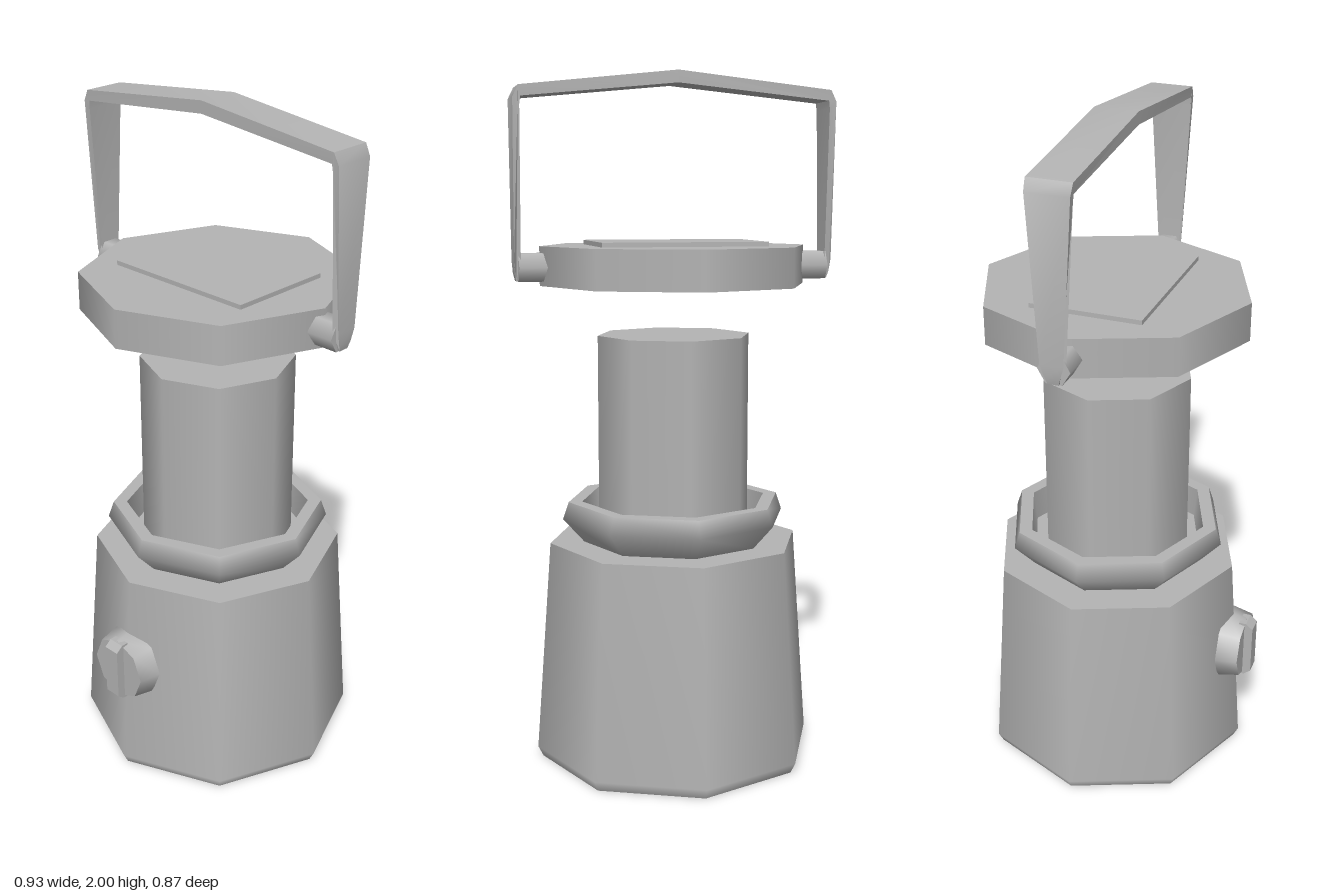
import * as THREE from 'three';
import { toCreasedNormals } from 'three/addons/utils/BufferGeometryUtils.js';

export function createModel() {
  const model = new THREE.Group();
  model.name = 'campingLantern';
  const grey = new THREE.MeshStandardMaterial({ color: 0xb4b4b4 });
  grey.name = 'plain grey';
  const axisZ = -0.017; // the lantern's axis, set back by the knob

  function add(name, geometry, x = 0, y = 0, z = axisZ) {
    const mesh = new THREE.Mesh(geometry, grey);
    mesh.name = name;
    mesh.position.set(x, y, z);
    model.add(mesh);
    return mesh;
  }
  // Eight-sided turned part from [radius, height] pairs, bottom to top
  const turned = (profile) =>
    new THREE.LatheGeometry(profile.map(([r, y]) => new THREE.Vector2(r, y)), 8);

  // Tapered base with a small chamfer at the foot
  add('base', turned([
    [0, 0], [0.4, 0], [0.4, 0], [0.415, 0.03], [0.37, 0.65], [0.37, 0.65], [0, 0.65],
  ]));

  // Flared collar with a recess around the lamp tube
  add('collar', turned([
    [0.27, 0.65], [0.332, 0.72], [0.315, 0.77], [0.315, 0.77],
    [0.275, 0.77], [0.275, 0.77], [0.265, 0.68], [0.265, 0.68], [0, 0.68],
  ]));

  // Lamp tube
  add('lampTube', turned([
    [0.225, 0.66], [0.225, 1.255], [0.225, 1.255], [0, 1.255],
  ]));

  // Lid with a thin raised panel
  add('lid', turned([[0, 1.4], [0.39, 1.4], [0.39, 1.4], [0.39, 1.512], [0.39, 1.512], [0, 1.512]]));
  add('lidPanel', new THREE.BoxGeometry(0.476, 0.016, 0.322), 0, 1.517, -0.016);

  // Control knob: tapered disc with a rounded grip
  const disc = new THREE.CylinderGeometry(0.097, 0.11, 0.065, 8);
  disc.rotateX(Math.PI / 2);
  add('knobDisc', toCreasedNormals(disc, 0.9), 0, 0.372, 0.375);
  const gripShape = new THREE.Shape([
    [-0.095, 0], [0.095, 0], [0.095, 0.022], [0.078, 0.043], [-0.078, 0.043], [-0.095, 0.022],
  ].map(([u, v]) => new THREE.Vector2(u, v)));
  const grip = new THREE.ExtrudeGeometry(gripShape, { depth: 0.05, bevelEnabled: false });
  grip.translate(0, 0, -0.025);
  // profile (u, v) becomes (y, z), width becomes x
  grip.applyMatrix4(new THREE.Matrix4().set(0, 0, 1, 0, 1, 0, 0, 0, 0, 1, 0, 0, 0, 0, 0, 1));
  add('knobGrip', grip, 0, 0.372, 0.39);

  // Handle: bent band whose arms narrow towards the pivots
  const outer = [[0.458, 1.415], [0.463, 1.435], [0.465, 1.47], [0.465, 1.92], [0.449, 1.952]];
  const inner = [[0.443, 1.922], [0.446, 1.9], [0.446, 1.47], [0.446, 1.435], [0.448, 1.415]];
  const half = [...outer, [0, 2], [0, 1.965], ...inner];
  const mirrorX = (list) => list.map(([x, y]) => [-x, y]).reverse();
  const band = [
    ...outer, [0, 2], ...mirrorX(outer), ...mirrorX(inner), [0, 1.965], ...inner,
  ].map(([x, y]) => new THREE.Vector2(x, y));
  const handle = new THREE.ExtrudeGeometry(new THREE.Shape(band), {
    depth: 0.124, bevelEnabled: false,
  });
  handle.translate(0, 0, -0.062);
  const p = handle.attributes.position;
  for (let i = 0; i < p.count; i++) {
    const y = p.getY(i);
    const taper = y > 1.465
      ? THREE.MathUtils.mapLinear(Math.min(y, 1.95), 1.47, 1.95, 0.53, 1)
      : THREE.MathUtils.mapLinear(y, 1.415, 1.47, 0.25, 0.53);
    p.setZ(i, p.getZ(i) * taper);
  }
  add('handle', toCreasedNormals(handle, 0.6), 0, 0, -0.015);

  // Pivot studs joining handle and lid
  for (const side of [1, -1]) {
    const stud = new THREE.CylinderGeometry(0.046, 0.046, 0.08, 6);
    stud.rotateZ(Math.PI / 2);
    add(side > 0 ? 'leftPivot' : 'rightPivot', stud, side * 0.412, 1.453, -0.015);
  }
  return model;
}
